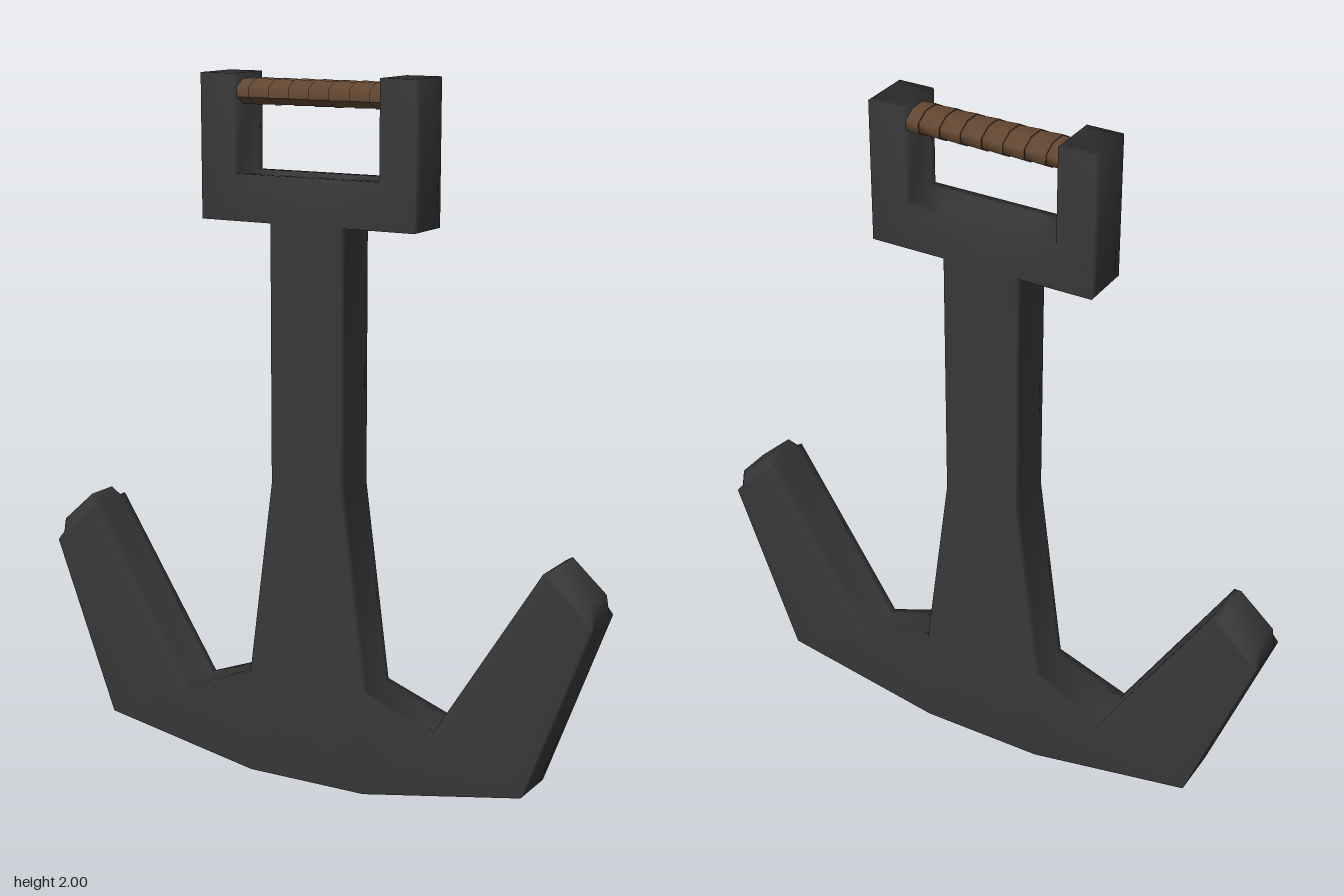
import * as THREE from 'three';
import { mergeVertices } from 'three/addons/utils/BufferGeometryUtils.js';

const HALF = 0.075; // half thickness of the iron

// Right half of the anchor outline as counter-clockwise quads
const quads = [
  [[0, 0], [0.185, 0], [0.185, 0.3], [0, 0.3]],               // crown
  [[0.185, 0], [0.67, 0.09], [0.4, 0.22], [0.185, 0.3]],      // arm root
  [[0.67, 0.09], [0.86, 0.6], [0.72, 0.73], [0.4, 0.22]],     // arm
  [[0.86, 0.6], [0.85, 0.66], [0.75, 0.75], [0.72, 0.73]],    // arm tip
  [[0, 0.3], [0.185, 0.3], [0.11, 0.87], [0, 0.87]],          // flared shank
  [[0, 0.87], [0.11, 0.87], [0.11, 1.6], [0, 1.6]],           // shank
  [[0, 1.6], [0.11, 1.6], [0.11, 1.73], [0, 1.73]],           // handle base
  [[0.11, 1.6], [0.33, 1.6], [0.225, 1.73], [0.11, 1.73]],
  [[0.33, 1.6], [0.33, 2], [0.225, 2], [0.225, 1.73]],        // handle post
];

// Thickens the quads, with walls only on outline edges, and smooths the normals
function ironGeometry() {
  const pos = [];
  const rows = [HALF, 0.05, -0.05, -HALF];
  const all = [...quads, ...quads.map(q => q.map(([x, y]) => [-x, y]).reverse())];
  const key = (a, b) => `${a[0] + 0},${a[1]}|${b[0] + 0},${b[1]}`;
  const edges = new Set();
  all.forEach(q => q.forEach((p, i) => edges.add(key(p, q[(i + 1) % 4]))));

  // The arm tips are rounded off towards both faces
  const at = ([x, y], z) => {
    const tip = Math.abs(x) > 0.74 && y > 0.65 && y < 0.8 && Math.abs(z) === HALF;
    return tip ? [x - Math.sign(x) * 0.014, y - 0.03, z] : [x, y, z];
  };
  const face = (a, b, c, d) => pos.push(...a, ...b, ...c, ...a, ...c, ...d);

  for (const q of all) {
    const front = q.map(p => at(p, HALF));
    const back = q.map(p => at(p, -HALF)).reverse();
    face(...front);
    face(...back);
    q.forEach((a, i) => {
      const b = q[(i + 1) % 4];
      if (edges.has(key(b, a))) return;
      for (let r = 0; r < 3; r++) {
        face(at(a, rows[r]), at(a, rows[r + 1]), at(b, rows[r + 1]), at(b, rows[r]));
      }
    });
  }
  const raw = new THREE.BufferGeometry();
  raw.setAttribute('position', new THREE.Float32BufferAttribute(pos, 3));
  const geometry = mergeVertices(raw, 1e-4);
  geometry.computeVertexNormals();
  return geometry;
}

export function createModel() {
  const model = new THREE.Group();
  model.name = 'anchor';

  const iron = new THREE.MeshStandardMaterial({ color: 0x383838 });
  iron.name = 'dark iron';
  const leather = new THREE.MeshStandardMaterial({ color: 0x614630 });
  leather.name = 'brown leather';

  const body = new THREE.Mesh(ironGeometry(), iron);
  body.name = 'ironBody';
  model.add(body);

  // Grip: a row of slightly tapered eight-sided wraps between the posts
  const grip = new THREE.Group();
  grip.name = 'grip';
  const wrap = new THREE.CylinderGeometry(0.97, 1.04, 0.062, 8);
  wrap.rotateY(Math.PI / 8);
  wrap.rotateZ(-Math.PI / 2);
  wrap.scale(1, 0.037, 0.065);
  wrap.computeVertexNormals();
  for (let i = 0; i < 8; i++) {
    const mesh = new THREE.Mesh(wrap, leather);
    mesh.name = 'gripWrap' + (i + 1);
    mesh.position.set((i - 3.5) * 0.062, 1.95, -0.003);
    grip.add(mesh);
  }
  model.add(grip);
  return model;
}
